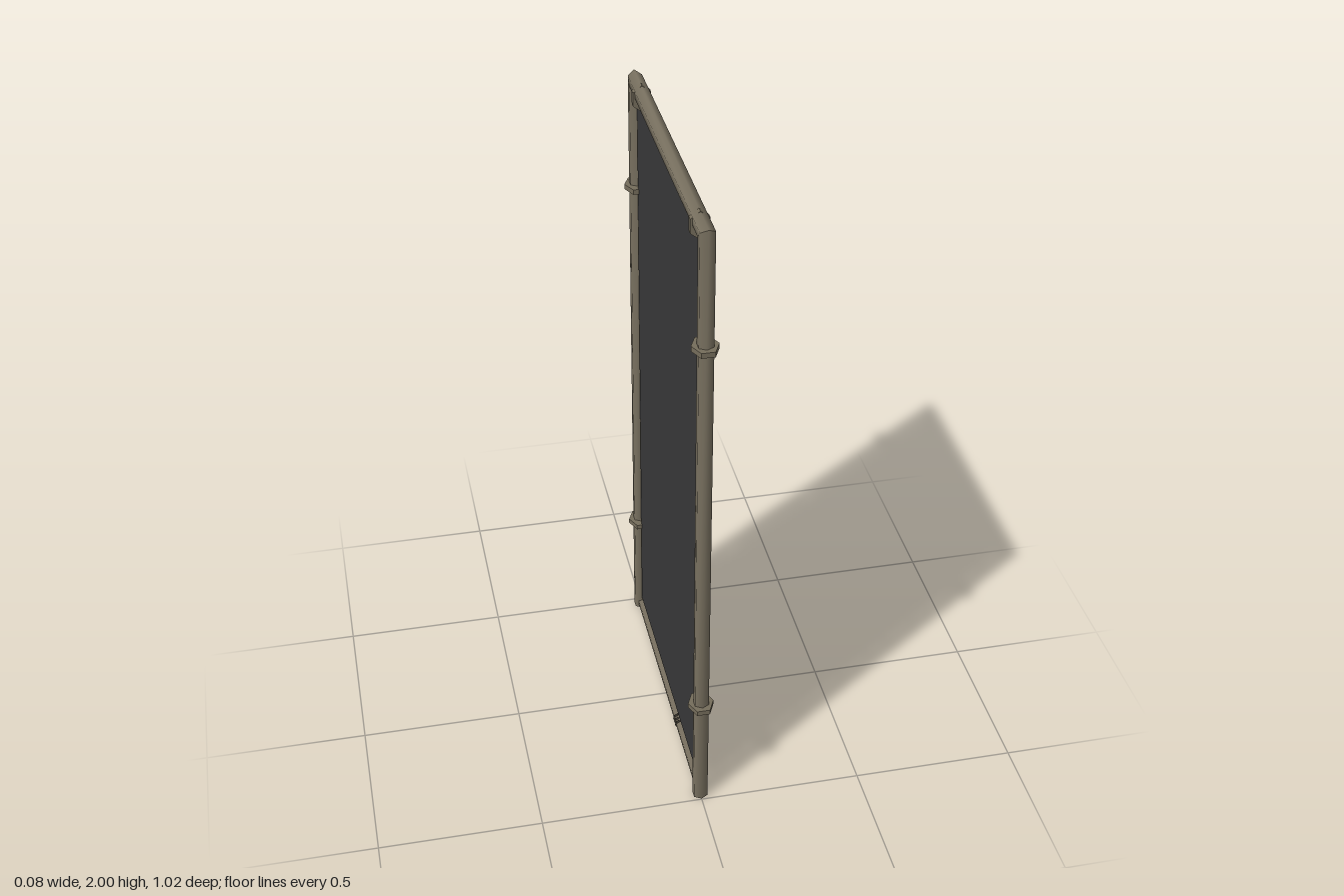
import * as THREE from 'three';

export function createModel() {
  const group = new THREE.Group();
  const frameMat = new THREE.MeshStandardMaterial({ color: 0x797160 });
  frameMat.name = 'weathered frame';
  const bandMat = new THREE.MeshStandardMaterial({ color: 0x70684f, flatShading: true });
  bandMat.color.set(0x756d5b);
  bandMat.name = 'tie bands';
  const panelMat = new THREE.MeshStandardMaterial({ color: 0x3a3a3b });
  panelMat.name = 'dark panel';
  const knotMat = new THREE.MeshStandardMaterial({ color: 0x35312a });
  knotMat.name = 'dark cord';

  function add(name, geo, mat, x = 0, y = 0, z = 0) {
    const mesh = new THREE.Mesh(geo, mat);
    mesh.name = name;
    mesh.position.set(x, y, z);
    group.add(mesh);
    return mesh;
  }

  // Mitred frame: a hexagonal section whose ends follow the corner diagonal
  const R = 0.0245, Z = 0.473, TOP = 1.9755, SIDES = 6;
  function bar(name, start, end) {
    const pos = [], index = [];
    for (const place of [start, end]) {
      for (let i = 0; i < SIDES; i++) {
        const a = (i / SIDES) * Math.PI * 2;
        const [y, z] = place(R * Math.cos(a));
        pos.push(R * Math.sin(a), y, z);
      }
    }
    for (let i = 0; i < SIDES; i++) {
      const j = (i + 1) % SIDES;
      index.push(i, j, SIDES + j, i, SIDES + j, SIDES + i);
    }
    const geo = new THREE.BufferGeometry();
    geo.setAttribute('position', new THREE.Float32BufferAttribute(pos, 3));
    geo.setIndex(index);
    geo.computeVertexNormals();
    add(name, geo, frameMat);
  }
  const footFront = o => [0, Z + o];
  const cornerFront = o => [TOP + o, Z + o];
  const cornerBack = o => [TOP + o, -Z - o];
  const footBack = o => [0, -Z - o];
  bar('frontPost', footFront, cornerFront);
  bar('topBeam', cornerFront, cornerBack);
  bar('backPost', cornerBack, footBack);

  for (const s of [1, -1]) {
    // Closed feet of the posts
    const foot = new THREE.CircleGeometry(R, SIDES, Math.PI / 2).rotateX(Math.PI / 2);
    add('postFoot', foot, frameMat, 0, 0, s * Z);

    // Bands around the posts
    for (const y of [0.37, 1.635]) {
      const band = new THREE.CylinderGeometry(0.039, 0.039, 0.016, 6).rotateY(Math.PI / 2);
      band.scale(1, 1, 1.24);
      add('postBand', band, bandMat, 0, y, s * 0.469);
    }

    // Bands hanging the panel from the beam
    const hanger = new THREE.CylinderGeometry(0.042, 0.042, 0.018, 6).rotateX(Math.PI / 2);
    hanger.scale(0.74, 1, 1);
    add('beamBand', hanger, bandMat, 0, 1.96, s * 0.388);
  }

  // Thin bottom rod
  const rod = new THREE.CylinderGeometry(0.0135, 0.0135, 2 * Z, 6).rotateX(Math.PI / 2);
  add('bottomRod', rod, frameMat, 0, 0.02, 0);

  // Cord wound around the rod
  for (let i = 0; i < 3; i++) {
    const turn = new THREE.TorusGeometry(0.011, 0.005, 6, 10);
    add('cordTurn', turn, knotMat, 0, 0.02, 0.145 + i * 0.015);
  }

  // Hanging panel
  add('panel', new THREE.BoxGeometry(0.006, 1.882, 0.88), panelMat, 0, 0.994, 0);
  return group;
}
